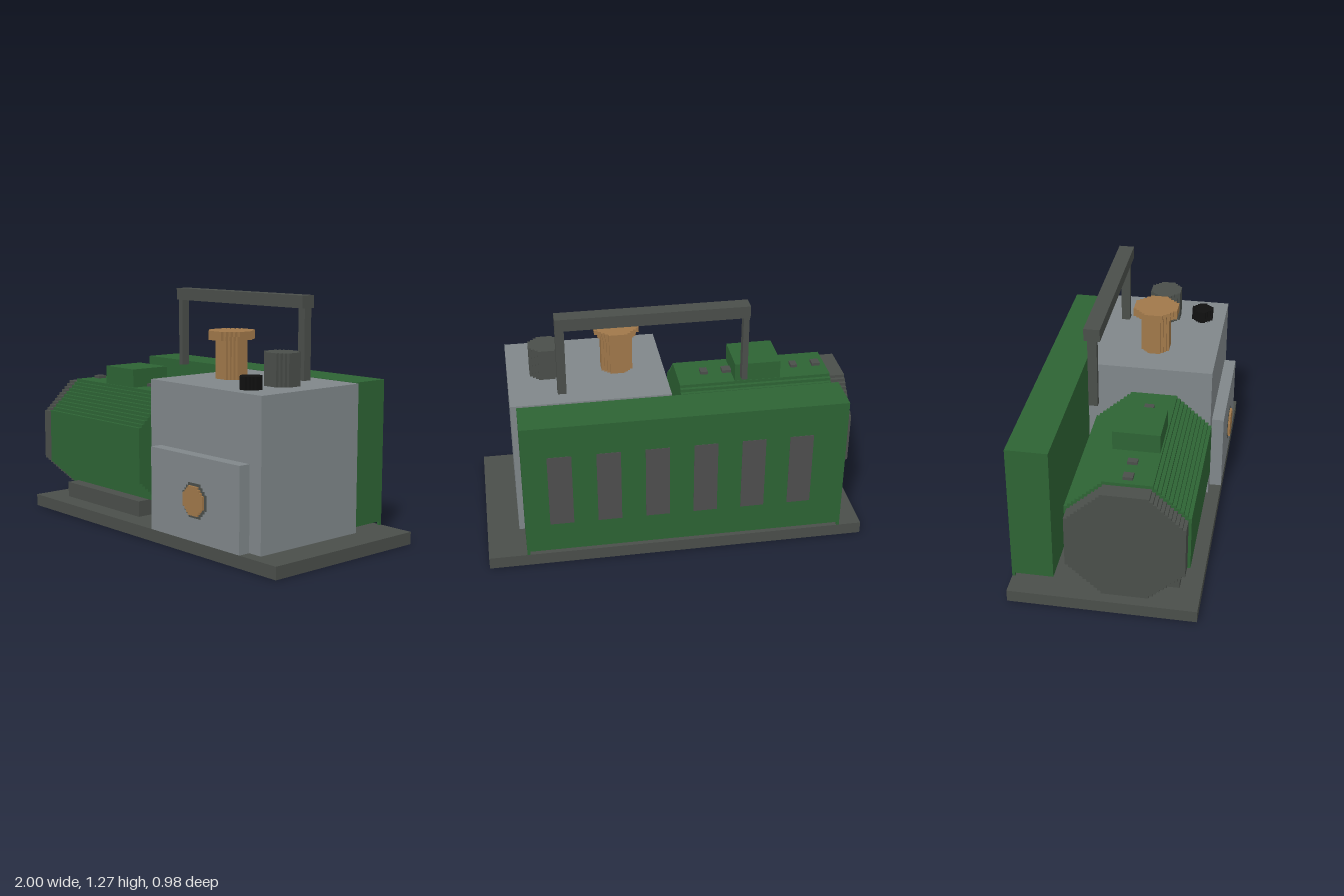
import * as THREE from 'three';

const mat = (name, color) => {
  const m = new THREE.MeshStandardMaterial({ color });
  m.name = name;
  return m;
};

// Octagonal outline whose diagonal sides are cut into n square steps.
// rx, ry: half sizes; fx, fy: half lengths of the flat sides.
function steppedOctagon(rx, ry, fx, fy, n) {
  const q = [];
  for (let i = 0; i <= n; i++) {
    const x = rx - ((rx - fx) * i) / n;
    const y = fy + ((ry - fy) * i) / n;
    q.push([x, y]);
    if (i < n) q.push([rx - ((rx - fx) * (i + 1)) / n, y]);
  }
  const mirror = (sx, sy) => q.map(([x, y]) => [x * sx, y * sy]);
  const pts = [...q, ...mirror(-1, 1).reverse(), ...mirror(-1, -1), ...mirror(1, -1).reverse()];
  return new THREE.Shape(pts.map(([x, y]) => new THREE.Vector2(x, y)));
}

export function createModel() {
  const green = mat('green paint', 0x2d6334);
  const grey = mat('tank grey', 0x80878a);
  const dark = mat('dark steel', 0x4a4e4a);
  const copper = mat('copper', 0xa0784a);
  const black = mat('black', 0x101010);
  const ventGrey = mat('vent grey', 0x4e4e4e);
  const model = new THREE.Group();
  model.name = 'pumpUnit';

  const add = (name, geometry, material) => {
    const mesh = new THREE.Mesh(geometry, material);
    mesh.name = name;
    model.add(mesh);
    return mesh;
  };

  // Box given by its limits on each axis
  const box = (name, material, x0, x1, y0, y1, z0, z1) =>
    add(name, new THREE.BoxGeometry(x1 - x0, y1 - y0, z1 - z0), material)
      .position.set((x0 + x1) / 2, (y0 + y1) / 2, (z0 + z1) / 2);

  // Stepped prism starting at a point and running along an axis
  const prism = (name, material, axis, start, depth, rx, ry, fx, fy, n) => {
    const g = new THREE.ExtrudeGeometry(steppedOctagon(rx, ry, fx, fy, n), { depth, bevelEnabled: false });
    if (axis === 'y') g.rotateX(-Math.PI / 2);
    if (axis === 'x') g.rotateY(Math.PI / 2);
    add(name, g, material).position.set(...start);
  };

  // Base plate
  box('basePlate', dark, -1, 1, 0, 0.065, -0.49, 0.475);

  // Rear cabinet, its small feet and vents
  box('rearCabinet', green, -0.88, 0.8, 0.085, 0.835, -0.49, -0.275);
  for (const x of [-0.88, 0.785]) box('cabinetFoot', green, x, x + 0.015, 0.065, 0.085, -0.49, -0.475);
  for (let i = 0; i < 6; i++) {
    const x = 0.61 - i * 0.25;
    box('cabinetVent', ventGrey, x - 0.062, x + 0.062, 0.25, 0.66, -0.492, -0.488);
  }

  // Motor with end cap, mount, terminal box and bolts
  prism('motorBody', green, 'x', [-0.915, 0.417, 0.113], 0.83, 0.312, 0.317, 0.125, 0.15, 10);
  prism('motorEndCap', dark, 'x', [-1, 0.417, 0.113], 0.085, 0.297, 0.3, 0.12, 0.14, 10);
  box('motorMount', dark, -0.835, -0.17, 0.065, 0.15, -0.14, 0.365);
  box('terminalBox', green, -0.635, -0.385, 0.73, 0.835, -0.01, 0.23);
  for (const [x0, x1] of [[-0.885, -0.84], [-0.755, -0.72], [-0.385, -0.335], [-0.255, -0.215]])
    box('motorBolt', dark, x0, x1, 0.73, 0.75, 0.085, 0.135);

  // Tank with raised front panel and round gauge
  box('tank', grey, 0, 0.83, 0.065, 0.835, -0.26, 0.41);
  box('frontPanel', grey, 0.08, 0.75, 0.065, 0.5, 0.41, 0.475);
  prism('gaugeRing', dark, 'z', [0.423, 0.275, 0.47], 0.008, 0.09, 0.088, 0.045, 0.04, 3);
  prism('gaugeFace', copper, 'z', [0.423, 0.275, 0.47], 0.02, 0.074, 0.074, 0.035, 0.035, 3);

  // Copper filler neck with wide cap
  prism('fillerNeck', copper, 'y', [0.248, 0.83, 0.072], 0.22, 0.082, 0.075, 0.04, 0.035, 3);
  prism('fillerCapRim', copper, 'y', [0.248, 1.038, 0.072], 0.024, 0.1, 0.117, 0.05, 0.05, 4);
  prism('fillerCap', copper, 'y', [0.248, 1.06, 0.072], 0.025, 0.117, 0.117, 0.05, 0.05, 4);

  // Exhaust stub and black plug
  prism('exhaustStub', dark, 'y', [0.622, 0.83, 0.073], 0.173, 0.089, 0.083, 0.043, 0.04, 3);
  prism('blackPlug', black, 'y', [0.622, 0.83, 0.283], 0.07, 0.058, 0.058, 0.02, 0.02, 3);

  // Carrying handle
  box('handleBar', dark, -0.415, 0.58, 1.205, 1.27, -0.19, -0.108);
  box('handlePost', dark, -0.415, -0.385, 0.835, 1.205, -0.172, -0.125);
  box('handlePost', dark, 0.535, 0.58, 0.835, 1.205, -0.172, -0.125);

  return model;
}
